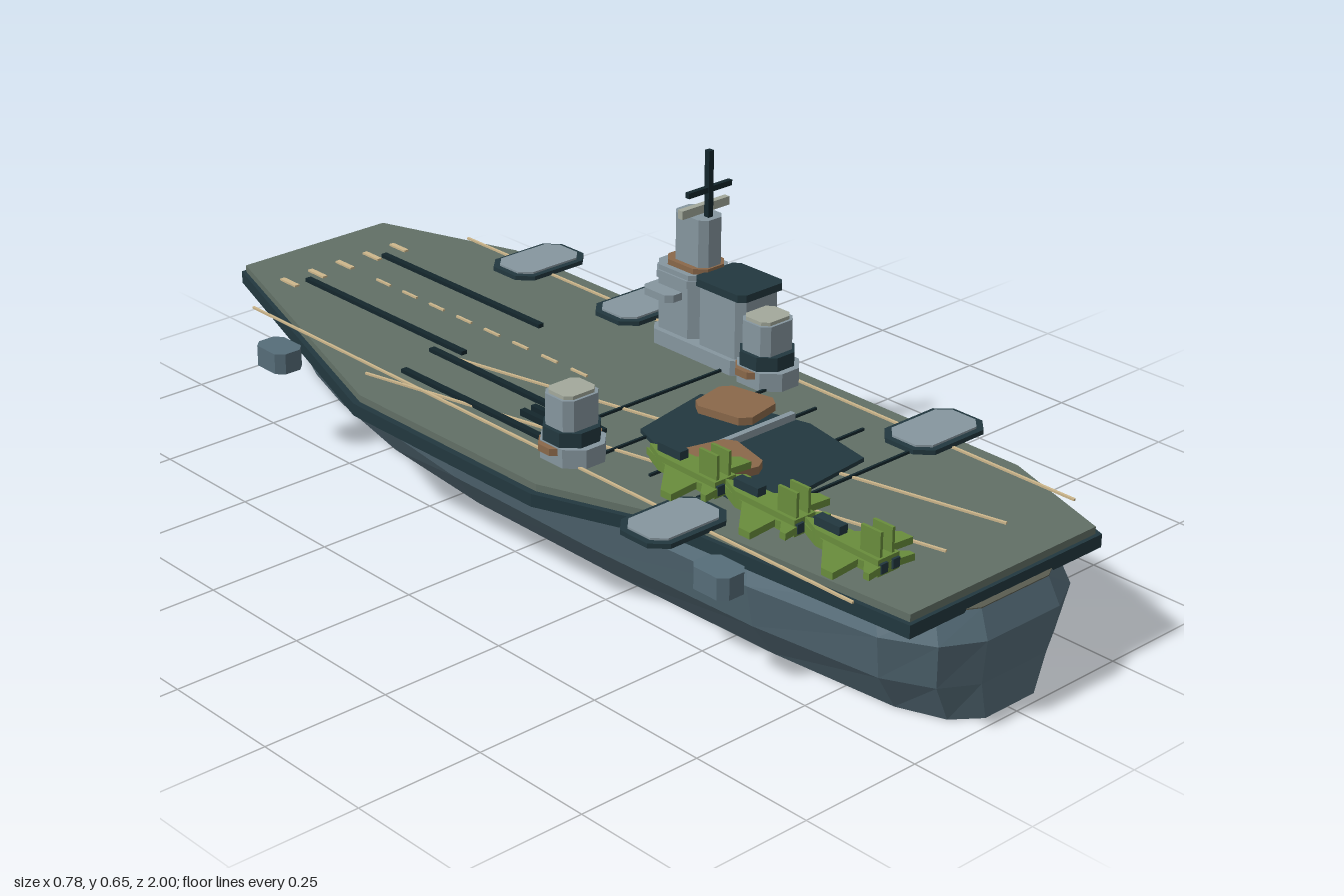
import * as THREE from 'three';

const mat = (name, color, extra = {}) =>
  Object.assign(new THREE.MeshStandardMaterial({ color, ...extra }), { name });

export function createModel() {
  const M = {
    hull: mat('hull blue grey', 0x566d79, { side: THREE.DoubleSide }),
    inner: mat('inner deck olive', 0x5a5c50),
    navy: mat('dark navy', 0x22383f),
    black: mat('mast black', 0x14262c),
    deck: mat('deck green grey', 0x627066),
    grey: mat('light grey', 0x86969f),
    pale: mat('pale grey', 0xa3a99c),
    rust: mat('rust brown', 0x8a684a),
    tan: mat('marking tan', 0xcdb78c),
    green: mat('aircraft green', 0x698d3c),
  };
  const root = new THREE.Group();
  root.name = 'aircraftCarrier';

  const add = (name, geo, material, parent = root) => {
    const m = new THREE.Mesh(geo, material);
    m.name = name;
    parent.add(m);
    return m;
  };
  // box from its extents
  const box = (name, material, x0, x1, y0, y1, z0, z1, parent) => {
    const m = add(name, new THREE.BoxGeometry(x1 - x0, y1 - y0, z1 - z0), material, parent);
    m.position.set((x0 + x1) / 2, (y0 + y1) / 2, (z0 + z1) / 2);
    return m;
  };
  // upright prism over an outline of [x, z] points
  const prism = (name, material, pts, y0, y1, parent) => {
    const shape = new THREE.Shape(pts.map(([x, z]) => new THREE.Vector2(x, -z)));
    const geo = new THREE.ExtrudeGeometry(shape, { depth: y1 - y0, bevelEnabled: false });
    geo.rotateX(-Math.PI / 2).translate(0, y0, 0);
    return add(name, geo, material, parent);
  };
  // rectangle outline with cut corners
  const cut = (cx, cz, w, d, c) => {
    const a = w / 2, b = d / 2;
    return [[-a + c, -b], [a - c, -b], [a, -b + c], [a, b - c], [a - c, b], [-a + c, b], [-a, b - c], [-a, -b + c]]
      .map(([x, z]) => [cx + x, cz + z]);
  };
  // thin flat strip between two deck points
  const strip = (name, material, x0, z0, x1, z1, w, y = 0.252, h = 0.004) => {
    const m = add(name, new THREE.BoxGeometry(w, h, Math.hypot(x1 - x0, z1 - z0)), material);
    m.position.set((x0 + x1) / 2, y, (z0 + z1) / 2);
    m.rotation.y = Math.atan2(x1 - x0, z1 - z0);
  };

  // open hull shell: stations [z, half width] lofted through levels [y, width scale, z scale]
  const stations = [[-1, 0.004], [-0.9, 0.07], [-0.75, 0.14], [-0.5, 0.22], [-0.2, 0.262], [0.2, 0.265],
    [0.6, 0.25], [0.87, 0.215], [0.96, 0.165], [1, 0.09]];
  const levels = [[0, 0.68, 0.98], [0.075, 0.9, 0.985], [0.165, 1, 1], [0.215, 0.93, 0.978]];
  const pt = (i, j, s) => [0.005 + s * stations[i][1] * levels[j][1], levels[j][0], stations[i][0] * levels[j][2]];
  const side = [];
  const quad = (a, b, c, d) => side.push(...a, ...b, ...c, ...a, ...c, ...d);
  const last = stations.length - 1;
  for (let j = 0; j < levels.length - 1; j++) {
    for (let i = 0; i < last; i++) {
      quad(pt(i, j, 1), pt(i, j + 1, 1), pt(i + 1, j + 1, 1), pt(i + 1, j, 1));
      quad(pt(i, j, -1), pt(i + 1, j, -1), pt(i + 1, j + 1, -1), pt(i, j + 1, -1));
    }
    quad(pt(last, j, -1), pt(last, j, 1), pt(last, j + 1, 1), pt(last, j + 1, -1));
    quad(pt(0, j, 1), pt(0, j, -1), pt(0, j + 1, -1), pt(0, j + 1, 1));
  }
  const shell = new THREE.BufferGeometry();
  shell.setAttribute('position', new THREE.Float32BufferAttribute(side, 3));
  shell.computeVertexNormals();
  add('hull', shell, M.hull);

  // inner deck closing the top of the shell
  const edge = (s) => stations.map((_, i) => pt(i, 3, s)).map(([x, , z]) => [x, z]);
  prism('innerDeck', M.inner, [...edge(1), ...edge(-1).reverse()], 0.206, 0.217);

  // flight deck: dark rim slab with the deck surface inset on it
  const rim = [[-0.155, -0.97], [0.213, -0.97], [0.325, -0.66], [0.325, 0.717], [0.24, 0.965],
    [-0.237, 0.965], [-0.275, 0.48], [-0.38, 0.2], [-0.38, -0.305]];
  prism('deckRim', M.navy, rim, 0.211, 0.236);
  prism('flightDeck', M.deck, rim.map(([x, z]) => [x * 0.965, z * 0.992]), 0.236, 0.25);

  // side sponsons
  for (const s of [-1, 1]) for (const z of [-0.632, -0.045, 0.6]) {
    prism('sponson', M.hull, cut(s * 0.312 + 0.002, z, 0.064, 0.086, 0.015), 0.184, 0.226);
  }

  // lifts overhanging the deck edge
  for (const [x, z] of [[0.297, -0.563], [0.297, -0.252], [0.297, 0.527], [-0.297, 0.475]]) {
    prism('liftFrame', M.navy, cut(x, z, 0.184, 0.124, 0.028), 0.252, 0.261);
    prism('liftPlatform', M.grey, cut(x, z, 0.16, 0.1, 0.022), 0.261, 0.265);
  }

  // catapult tracks and arresting wires
  for (const [x, z0, z1] of [[-0.105, -0.81, -0.315], [0.089, -0.81, -0.315], [-0.24, -0.33, 0.1], [-0.14, -0.37, 0.125]]) {
    strip('catapultTrack', M.black, x, z0, x, z1, 0.013, 0.254, 0.008);
  }
  for (const z of [0.07, 0.19, 0.31, 0.43, 0.55]) strip('arrestingWire', M.black, -0.2, z, 0.215, z, 0.005, 0.253, 0.005);

  // deck markings
  for (let i = -2; i <= 2; i++) strip('bowMark', M.tan, i * 0.07, -0.85, i * 0.07, -0.8, 0.011);
  for (let z = -0.72; z < -0.12; z += 0.085) strip('centreDash', M.tan, 0, z, 0, z + 0.045, 0.005);
  strip('landingLineLeft', M.tan, -0.3, -0.37, -0.026, 0.85, 0.005);
  strip('landingLineRight', M.tan, -0.14, -0.35, 0.126, 0.85, 0.005);
  for (const x of [-0.27, 0.28]) strip('edgeLine', M.tan, x, -0.77, x, 0.87, 0.005);

  // dark deck patch with loose plates and a beam
  prism('deckPatch', M.navy, [[-0.09, 0.167], [0.095, 0.13], [0.153, 0.357], [0.122, 0.52], [-0.07, 0.54],
    [-0.16, 0.505], [-0.153, 0.347]], 0.25, 0.258);
  for (const [x, z, r] of [[0.077, 0.24, 0.2], [-0.1, 0.39, -0.25]]) {
    const p = prism('rustPlate', M.rust, cut(0, 0, 0.11, 0.125, 0.018), 0.27, 0.285);
    p.position.set(x, 0, z);
    p.rotation.y = r;
  }
  box('beam', M.grey, -0.122, 0.125, 0.27, 0.284, 0.334, 0.346);

  // gun turrets
  for (const x of [-0.24, 0.246]) {
    const g = new THREE.Group();
    g.name = 'turret';
    g.position.set(x, 0, 0.15);
    root.add(g);
    prism('turretBase', M.grey, cut(0, 0.003, 0.104, 0.12, 0.03), 0.25, 0.286, g);
    prism('turretRing', M.rust, cut(0, -0.005, 0.126, 0.08, 0.025), 0.27, 0.284, g);
    prism('turretCollar', M.navy, cut(0, 0, 0.1, 0.1, 0.028), 0.286, 0.314, g);
    prism('turretHouse', M.grey, cut(0, 0, 0.084, 0.075, 0.014), 0.314, 0.374, g);
    prism('turretCap', M.pale, cut(0, 0, 0.074, 0.064, 0.012), 0.374, 0.381, g);
    for (const s of [-1, 1]) box('barrel', M.black, s * 0.013 - 0.006, s * 0.013 + 0.006, 0.29, 0.302, -0.12, -0.045, g);
  }

  // island: rear block, bridge, tower and mast
  const island = new THREE.Group();
  island.name = 'island';
  root.add(island);
  prism('islandBase', M.grey, cut(0.268, -0.01, 0.13, 0.25, 0.02), 0.25, 0.28, island);
  prism('islandBlock', M.grey, cut(0.269, 0.048, 0.11, 0.125, 0.015), 0.28, 0.4, island);
  prism('islandRoof', M.navy, cut(0.268, 0.05, 0.117, 0.135, 0.012), 0.4, 0.415, island);
  prism('bridge', M.grey, cut(0.268, -0.075, 0.106, 0.125, 0.022), 0.28, 0.41, island);
  prism('bridgeWings', M.grey, cut(0.268, -0.09, 0.175, 0.08, 0.012), 0.356, 0.371, island);
  prism('bridgeLedge', M.grey, cut(0.268, -0.075, 0.114, 0.131, 0.024), 0.385, 0.4, island);
  prism('towerBand', M.rust, cut(0.268, -0.068, 0.082, 0.11, 0.02), 0.41, 0.421, island);
  prism('tower', M.grey, cut(0.268, -0.062, 0.06, 0.09, 0.014), 0.421, 0.517, island);
  box('radarBar', M.pale, 0.207, 0.329, 0.523, 0.54, -0.055, -0.042, island);
  box('mast', M.black, 0.262, 0.274, 0.515, 0.65, -0.041, -0.029, island);
  box('mastYard', M.black, 0.212, 0.324, 0.567, 0.578, -0.04, -0.03, island);

  // parked aircraft, noses toward the bow
  const half = [[0, -0.108], [0.018, -0.06], [0.024, -0.035], [0.095, 0.03], [0.095, 0.056], [0.03, 0.05],
    [0.028, 0.062], [0.054, 0.085], [0.054, 0.098], [0, 0.09]];
  const outline = [...half, ...half.slice(1, -1).reverse().map(([x, z]) => [-x, z])];
  for (const z of [0.41, 0.6, 0.79]) {
    const g = new THREE.Group();
    g.name = 'aircraft';
    g.position.set(-0.2, 0, z);
    root.add(g);
    prism('wings', M.green, outline, 0.292, 0.305, g);
    prism('fuselage', M.green, [[0, -0.1], [0.021, -0.055], [0.025, 0.09], [-0.025, 0.09], [-0.021, -0.055]], 0.285, 0.316, g);
    box('canopy', M.navy, -0.01, 0.01, 0.316, 0.332, -0.07, -0.012, g);
    for (const s of [-1, 1]) {
      const x = s * 0.014;
      box('tailFin', M.green, x - 0.003, x + 0.003, 0.314, 0.362, 0.042, 0.086, g);
      box('exhaust', M.navy, x - 0.008, x + 0.008, 0.291, 0.309, 0.08, 0.095, g);
    }
  }
  return root;
}
